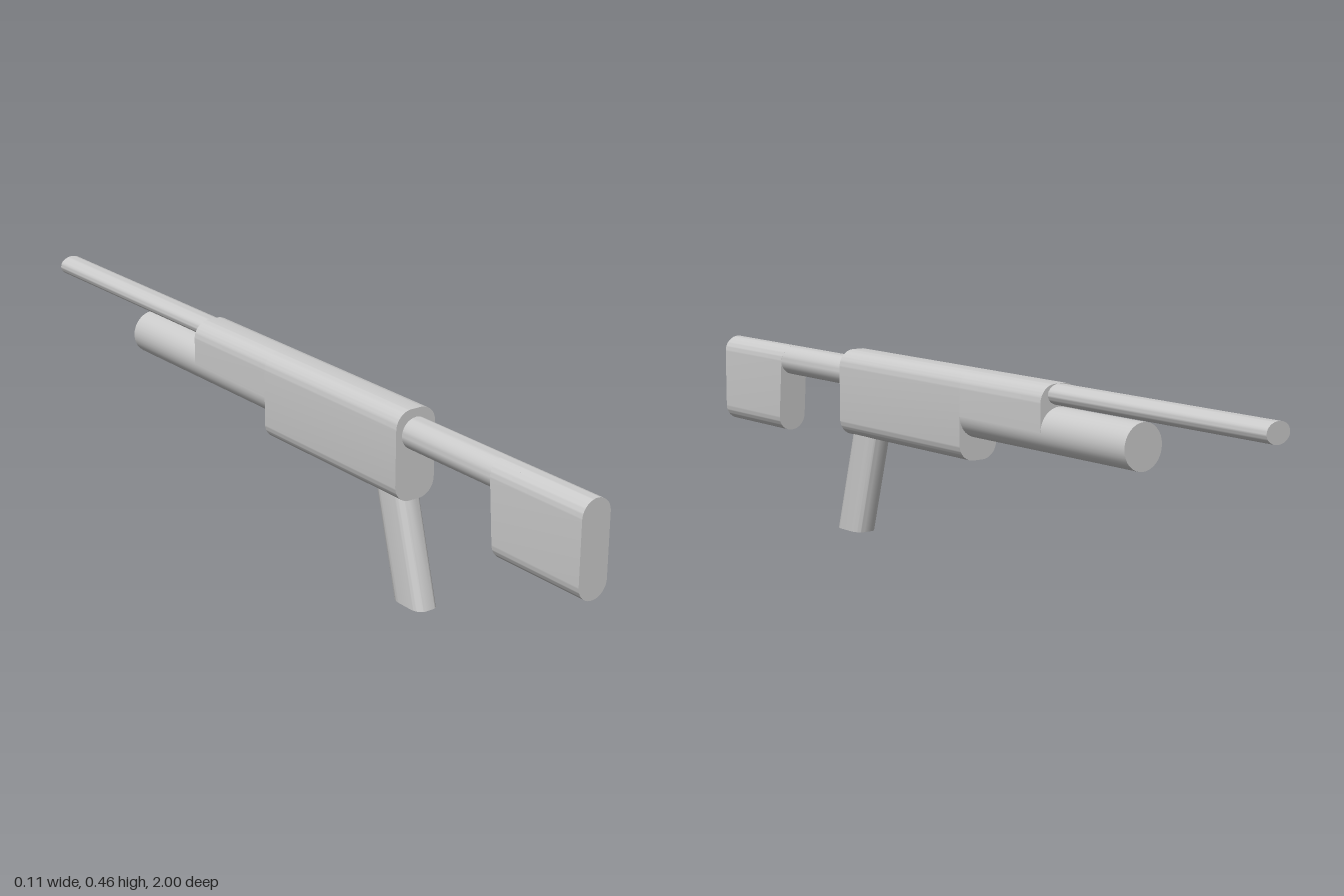
import * as THREE from 'three';
import { toCreasedNormals } from 'three/addons/utils/BufferGeometryUtils.js';

const material = new THREE.MeshStandardMaterial({ color: 0xcccccc });

// Rectangle with elliptical corners: half width w, from y0 to y1, separate radii for bottom and top
function outline(w, y0, y1, rx, ryTop, ryBottom = ryTop) {
  const s = new THREE.Shape();
  const h = Math.PI / 2;
  const corner = (x, y, ry, a) => ry > 0 && s.absellipse(x, y, rx, ry, a, a + h, false);
  const bx = ryBottom > 0 ? w - rx : w;
  s.moveTo(bx, y0);
  corner(w - rx, y0 + ryBottom, ryBottom, -h);
  s.lineTo(w, y1 - ryTop);
  corner(w - rx, y1 - ryTop, ryTop, 0);
  s.lineTo(rx - w, y1);
  corner(rx - w, y1 - ryTop, ryTop, h);
  s.lineTo(-w, y0 + ryBottom);
  corner(rx - w, y0 + ryBottom, ryBottom, 2 * h);
  s.closePath();
  return s;
}

// Prism along z from z0 (rear of the weapon is +z) to z1
function prism(shape, zMin, zMax) {
  const g = new THREE.ExtrudeGeometry(shape, { depth: zMax - zMin, bevelEnabled: false, curveSegments: 8 });
  return g.translate(0, 0, zMin);
}

// Elliptical rod along z
function rod(rx, ry, y, zMin, zMax) {
  const g = new THREE.CylinderGeometry(1, 1, zMax - zMin, 32);
  return g.rotateX(Math.PI / 2).scale(rx, ry, 1).translate(0, y, (zMin + zMax) / 2);
}

// Move vertices by a rule
function warp(g, rule) {
  const p = g.attributes.position;
  const v = new THREE.Vector3();
  for (let i = 0; i < p.count; i++) {
    rule(v.fromBufferAttribute(p, i));
    p.setXYZ(i, v.x, v.y, v.z);
  }
  return g;
}

export function createModel() {
  const group = new THREE.Group();
  const add = (name, geometry) => {
    const flat = geometry.index ? geometry.toNonIndexed() : geometry;
    const mesh = new THREE.Mesh(toCreasedNormals(flat, 0.6), material);
    mesh.name = name;
    group.add(mesh);
  };

  // Receiver: deep rear body and shallow forward body over the tube
  add('receiver', prism(outline(0.054, 0.245, 0.457, 0.041, 0.041), -0.045, 0.44));
  add('receiverFront', prism(outline(0.054, 0.352, 0.457, 0.041, 0.041, 0), -0.335, -0.045));

  // Barrel and the tube beneath it
  add('barrel', rod(0.033, 0.024, 0.433, -1, -0.32));
  add('magazineTube', rod(0.0535, 0.0535, 0.352, -0.61, -0.03));

  // Stock: rod and butt with a slightly slanted front face
  add('stockRod', rod(0.038, 0.037, 0.4, 0.43, 0.8));
  const butt = prism(outline(0.0385, 0.215, 0.437, 0.0384, 0.0384), 0, 1);
  add('butt', warp(butt, (v) => {
    if (v.z < 0.5) v.z = 0.742 - (v.y - 0.215) * 0.08;
  }));

  // Grip leaning back toward its base
  const grip = prism(outline(0.031, -0.05, 0.05, 0.02, 0.03), 0, 0.28).rotateX(-Math.PI / 2);
  add('grip', warp(grip, (v) => { v.z += 0.451 - v.y * 0.2755; }));

  return group;
}
